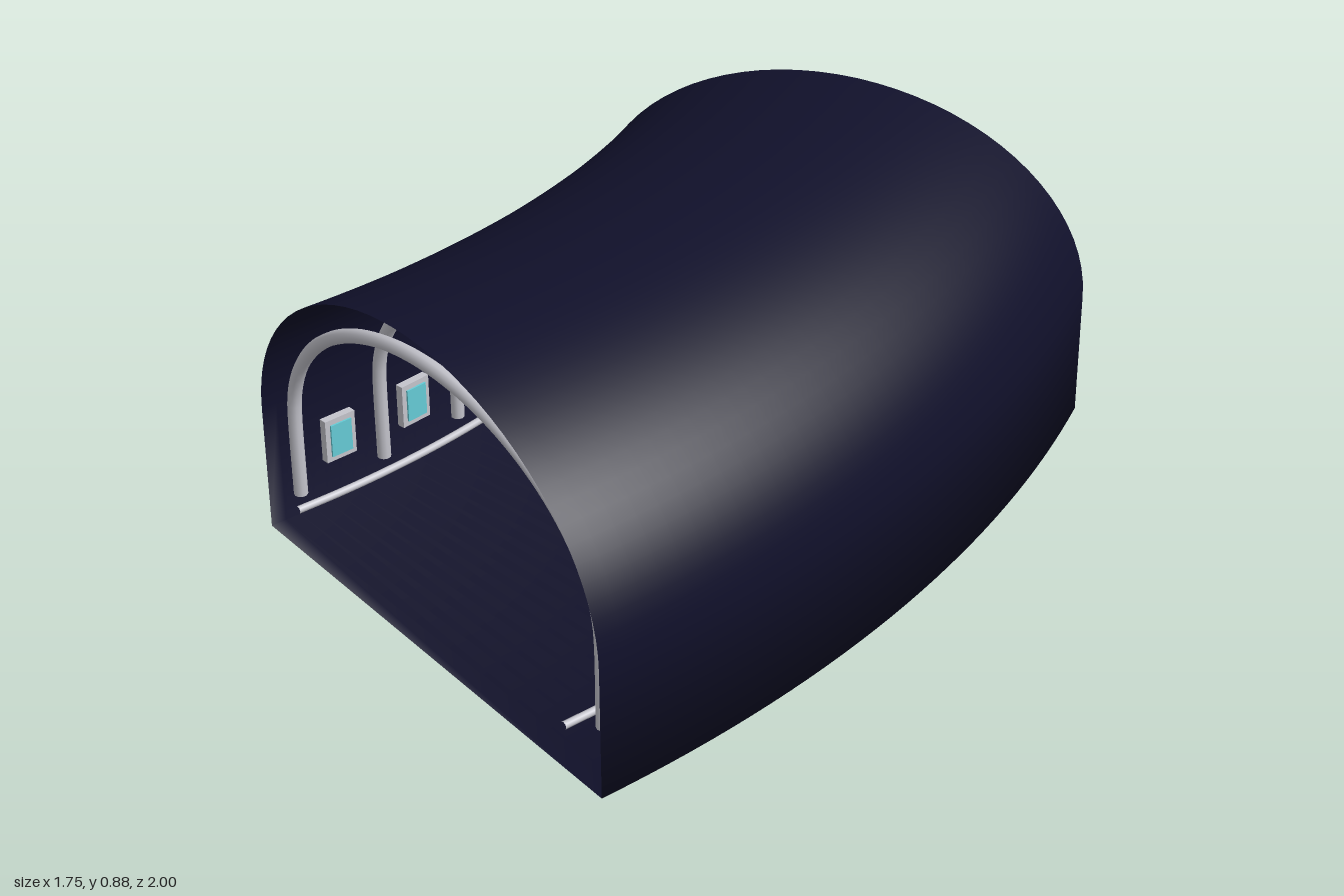
import * as THREE from 'three';

const CX = -3.125, MID = 3.3, SWEEP = Math.PI / 6; // bend centre, centreline radius, bend angle
const rad = THREE.MathUtils.degToRad;

// Point on the bend: sideways offset from the centreline, height, angle along the bend
const place = (off, y, a) =>
  new THREE.Vector3(CX + (MID + off) * Math.cos(a), y, 1 - (MID + off) * Math.sin(a));

// Arch profile, from the outer foot over the crown to the inner foot
function arch(half, foot, spring, top, n = 40) {
  const pts = [[half, foot]];
  for (let i = 0; i <= n; i++) {
    const t = (i / n) * Math.PI;
    pts.push([half * Math.cos(t), spring + (top - spring) * Math.sin(t)]);
  }
  pts.push([-half, foot]);
  return pts;
}

// Skin a list of closed rings; wrap joins the last ring to the first
function loft(rings, wrap = false) {
  const m = rings[0].length, n = rings.length, index = [];
  for (let i = 0; i < (wrap ? n : n - 1); i++) {
    for (let j = 0; j < m; j++) {
      const k = (j + 1) % m, r = ((i + 1) % n) * m;
      const a = i * m + j, b = i * m + k, c = r + j, d = r + k;
      index.push(a, c, b, b, c, d);
    }
  }
  const g = new THREE.BufferGeometry().setFromPoints(rings.flat());
  g.setIndex(index);
  g.computeVertexNormals();
  return g;
}

export function createModel() {
  const model = new THREE.Group();
  model.name = 'curvedTunnel';

  const navy = new THREE.MeshStandardMaterial({ color: 0x10102a, side: THREE.DoubleSide });
  navy.name = 'dark navy';
  const metal = new THREE.MeshStandardMaterial({ color: 0xc4c4cc });
  metal.name = 'light grey metal';
  const cyan = new THREE.MeshStandardMaterial({ color: 0x66ccd6 });
  cyan.name = 'cyan glass';

  const add = (geometry, material, name, parent = model) => {
    const mesh = new THREE.Mesh(geometry, material);
    mesh.name = name;
    parent.add(mesh);
    return mesh;
  };
  const ring = (profile, a) => profile.map(([x, y]) => place(x, y, a));

  // Thin outer shell with its floor
  const outer = arch(0.7, 0, 0.35, 0.875);
  const shellRings = [];
  for (let i = 0; i <= 32; i++) shellRings.push(ring(outer, (SWEEP * i) / 32));
  add(loft(shellRings), navy, 'shell');

  // Softly shaded rim inside the back opening
  const rimOuter = arch(0.698, 0.002, 0.35, 0.873);
  const rimInner = arch(0.62, 0.08, 0.35, 0.795);
  const rimFront = SWEEP - 0.015;
  add(loft([
    ring(rimOuter, rimFront), ring(rimOuter, SWEEP),
    ring(rimInner, SWEEP), ring(rimInner, rimFront),
  ], true), metal, 'backRim');

  // Six arched ribs
  const ribProfile = arch(0.62, 0.12, 0.35, 0.775, 24);
  for (let i = 0; i < 6; i++) {
    const curve = new THREE.CatmullRomCurve3(ring(ribProfile, rad(1 + 5.6 * i)));
    add(new THREE.TubeGeometry(curve, 72, 0.018, 10), metal, 'rib');
  }

  for (const side of [1, -1]) {
    // Rail low along each wall
    const path = [];
    for (let i = 0; i <= 12; i++) path.push(place(side * 0.56, 0.12, (SWEEP * i) / 12));
    add(new THREE.TubeGeometry(new THREE.CatmullRomCurve3(path), 48, 0.01, 8), metal, 'rail');

    // Wall panels, each with a glass face turned to the inside
    for (let i = 0; i < 6; i++) {
      const a = rad(3.2 + 5.12 * i);
      const panel = new THREE.Group();
      panel.name = 'wallPanel';
      panel.position.copy(place(side * 0.59, 0.265, a));
      panel.rotation.y = a;
      add(new THREE.BoxGeometry(0.022, 0.12, 0.09), metal, 'panelFrame', panel);
      add(new THREE.BoxGeometry(0.008, 0.09, 0.062), cyan, 'panelGlass', panel)
        .position.x = -side * 0.012;
      model.add(panel);
    }
  }
  return model;
}
